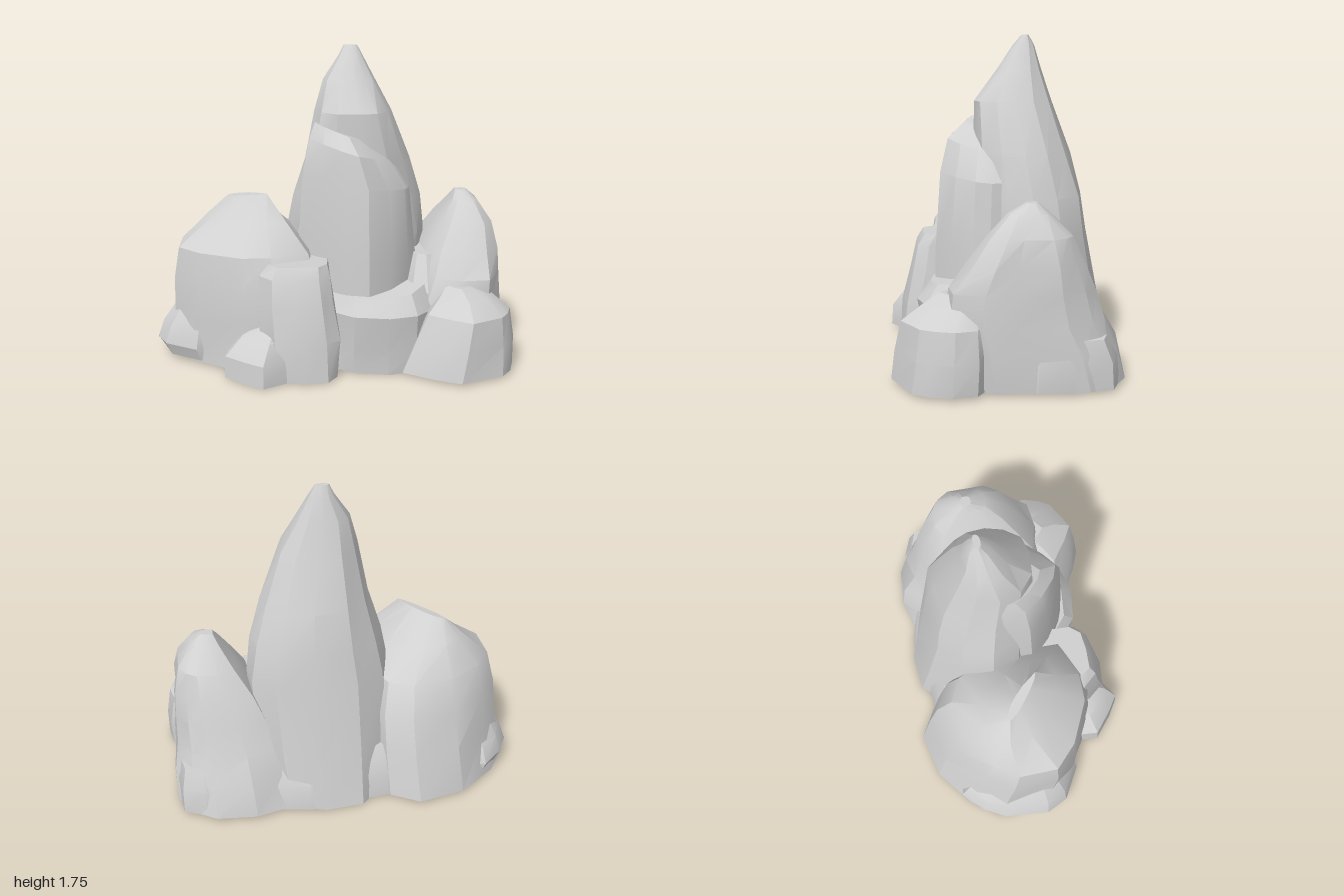
import * as THREE from 'three';
import { toCreasedNormals } from 'three/addons/utils/BufferGeometryUtils.js';

const stone = new THREE.MeshStandardMaterial({ color: 0xd0d0d0 });
stone.name = 'pale grey stone';

// Plan outlines in a -1..1 square, running from +x towards +z
const ROUND = [[1, 0.1], [0.84, 0.55], [0.5, 0.9], [0.05, 1], [-0.5, 0.88], [-0.88, 0.5],
  [-1, -0.05], [-0.82, -0.6], [-0.4, -0.95], [0.2, -1], [0.7, -0.8], [0.97, -0.35]];
const PROW = [[1, 0.1], [0.85, 0.4], [0.5, 0.75], [0.1, 1], [-0.25, 0.85], [-0.7, 0.45],
  [-1, 0], [-0.9, -0.6], [-0.4, -1], [0.4, -1], [0.9, -0.6]];
const BLOCK = [[1, 0.15], [0.92, 0.7], [0.6, 0.95], [0, 1], [-0.65, 0.9], [-0.97, 0.5],
  [-1, -0.4], [-0.7, -0.95], [0.3, -1], [0.9, -0.75]];
const WEDGE = [[1, -0.1], [0.85, 0.35], [0.66, 0.65], [-0.1, 1], [-0.5, 0.75], [-1, 0.25],
  [-0.9, -0.5], [-0.4, -1], [0.5, -1], [0.95, -0.6]];
const BROAD = [[1, 0.34], [0.95, 0.81], [0.37, 1], [-0.08, 0.92], [-0.69, 0.58], [-1, 0.25],
  [-0.98, -0.32], [-0.69, -0.64], [-0.16, -0.94], [0.47, -1], [0.83, -0.81], [1, -0.32]];
const POINTED = [[0.92, 0.25], [0.88, 0.6], [0.5, 0.95], [-0.1, 1], [-0.7, 0.85], [-0.95, 0.5],
  [-1, -0.2], [-0.88, -0.87], [-0.25, -1], [0.44, -0.91], [0.78, -0.73], [1, -0.4]];
const SKIRT = [[1, 0.2], [0.7, 0.8], [-0.1, 1], [-0.8, 0.65], [-1, 0.3], [-0.8, -0.4],
  [-0.5, -0.75], [0, -1], [0.9, -0.8]];

// Pinches an outline towards its diagonal to form a ridge
const ridge = (outline, k) => outline.map(([u, v]) => [u + (v - u) * k, v + (u - v) * k]);

function seeded(seed) {
  let s = seed;
  return () => (s = (s * 16807) % 2147483647) / 2147483647;
}

// Lofts an outline through levels of [y, xMin, xMax, zMin, zMax, tiltX, tiltZ, ownOutline]
function rock(name, outline, levels, seed) {
  const rnd = seeded(seed * 7919 + 13);
  const n = outline.length, pos = [], idx = [];
  for (const [y, x0, x1, z0, z1, tx = 0, tz = 0, shape = outline] of levels) {
    for (const [u, v] of shape) {
      const k = 1 - 0.05 * rnd();
      pos.push((x0 + x1) / 2 + u * k * (x1 - x0) / 2, y + tx * u + tz * v,
        (z0 + z1) / 2 + v * k * (z1 - z0) / 2);
    }
  }
  const last = (levels.length - 1) * n;
  for (let l = 0; l < last; l += n) {
    for (let i = 0; i < n; i++) {
      const j = (i + 1) % n, a = l + i, b = l + j;
      idx.push(a, a + n, b, b, a + n, b + n);
    }
  }
  // Closed bottom and top
  const centre = ([y, x0, x1, z0, z1]) => pos.push((x0 + x1) / 2, y, (z0 + z1) / 2);
  centre(levels[0]);
  centre(levels[levels.length - 1]);
  const bottom = last + n, top = bottom + 1;
  for (let i = 0; i < n; i++) {
    const j = (i + 1) % n;
    idx.push(bottom, i, j, top, last + j, last + i);
  }
  const geo = new THREE.BufferGeometry();
  geo.setAttribute('position', new THREE.Float32BufferAttribute(pos, 3));
  geo.setIndex(idx);
  const mesh = new THREE.Mesh(toCreasedNormals(geo, 0.45), stone);
  mesh.name = name;
  return mesh;
}

export function createModel() {
  const group = new THREE.Group();
  group.name = 'rockFormation';
  group.add(
    // Low footing that closes the gaps between the rocks
    rock('footing', BLOCK, [
      [0.01, -0.65, 0.8, -0.56, 0.38],
      [0.15, -0.65, 0.8, -0.54, 0.38],
      [0.3, -0.6, 0.75, -0.47, 0.34],
    ], 12),
    // Tall central spire and the slab leaning on its front
    rock('mainSpire', ROUND, [
      [0.01, -0.22, 0.5, -0.6, 0.12],
      [0.3, -0.25, 0.55, -0.54, 0.15],
      [0.7, -0.26, 0.57, -0.46, 0.17],
      [0.9, -0.21, 0.53, -0.43, 0.17],
      [1.12, -0.15, 0.46, -0.37, 0.17],
      [1.4, -0.09, 0.35, -0.28, 0.16],
      [1.57, -0.04, 0.26, -0.22, 0.03],
      [1.7, 0.05, 0.19, -0.18, -0.06],
      [1.755, 0.08, 0.16, -0.15, -0.11],
    ], 1),
    rock('spireSlab', PROW, [
      [0.01, -0.2, 0.47, -0.2, 0.38],
      [0.6, -0.2, 0.47, -0.2, 0.38],
      [1.02, -0.17, 0.44, -0.2, 0.35, -0.04, 0],
      [1.2, -0.14, 0.33, -0.2, 0.31, -0.06, 0],
      [1.29, -0.1, 0.22, -0.18, 0.2, -0.05, 0],
    ], 2),
    // Broad rock on the -x side, rising to a diagonal ridge
    rock('broadRock', BROAD, [
      [0.02, -0.95, -0.08, -0.67, 0.4],
      [0.28, -0.92, -0.07, -0.6, 0.4],
      [0.48, -0.9, -0.08, -0.53, 0.39],
      [0.65, -0.87, -0.12, -0.45, 0.34],
      [0.8, -0.73, -0.24, -0.35, 0.2, 0, 0, ridge(BROAD, 0.15)],
      [0.92, -0.63, -0.35, -0.22, 0.07, 0.03, 0, ridge(BROAD, 0.4)],
    ], 3),
    rock('sideFoot', SKIRT, [
      [0.03, -0.97, -0.5, -0.5, 0.21],
      [0.1, -1.01, -0.5, -0.51, 0.23],
      [0.2, -0.97, -0.52, -0.47, 0.21],
      [0.3, -0.9, -0.55, -0.38, 0.15],
    ], 4),
    // Boulders along the front
    rock('frontBoulder', BLOCK, [
      [0.01, -0.4, 0.01, 0, 0.55],
      [0.22, -0.44, 0.02, 0, 0.54],
      [0.42, -0.45, -0.01, 0, 0.49],
      [0.56, -0.44, -0.03, 0, 0.46],
      [0.62, -0.4, -0.04, 0.02, 0.42],
    ], 5),
    rock('lowFrontBoulder', WEDGE, [
      [0.01, -0.63, -0.17, 0.1, 0.59],
      [0.13, -0.62, -0.18, 0.1, 0.58],
      [0.23, -0.53, -0.21, 0.12, 0.52],
      [0.28, -0.44, -0.26, 0.15, 0.44],
    ], 6),
    rock('middleBoulder', ROUND, [
      [0.005, -0.1, 0.6, -0.2, 0.46],
      [0.14, -0.1, 0.6, -0.2, 0.47],
      [0.34, -0.1, 0.6, -0.2, 0.49],
      [0.47, -0.08, 0.56, -0.2, 0.42, 0.02, -0.04],
    ], 7),
    rock('rearStep', ROUND, [
      [0.01, 0.3, 0.68, -0.3, 0.34],
      [0.42, 0.34, 0.66, -0.25, 0.32],
      [0.61, 0.42, 0.6, -0.15, 0.2],
    ], 8),
    // Pointed rock on the +x side
    rock('pointedRock', POINTED, [
      [0.02, 0.34, 1.0, -0.58, 0.36],
      [0.2, 0.37, 1.0, -0.53, 0.38],
      [0.34, 0.4, 0.98, -0.46, 0.41],
      [0.5, 0.46, 0.97, -0.4, 0.38],
      [0.63, 0.52, 0.96, -0.34, 0.29],
      [0.77, 0.61, 0.93, -0.26, 0.19],
      [0.88, 0.69, 0.85, -0.14, 0.08],
      [0.93, 0.72, 0.79, -0.08, -0.02],
    ], 9),
    rock('cornerBoulder', WEDGE, [
      [0.02, 0.34, 0.99, 0.15, 0.66],
      [0.18, 0.4, 0.99, 0.15, 0.64],
      [0.34, 0.48, 0.96, 0.16, 0.61],
      [0.42, 0.56, 0.86, 0.18, 0.5],
      [0.47, 0.6, 0.76, 0.2, 0.41],
    ], 10),
    rock('sideLedge', BLOCK, [
      [0.02, 0.6, 1.0, -0.49, 0.05],
      [0.16, 0.6, 1.0, -0.48, 0.04],
      [0.27, 0.65, 0.97, -0.42, -0.04],
    ], 11),
  );
  return group;
}
